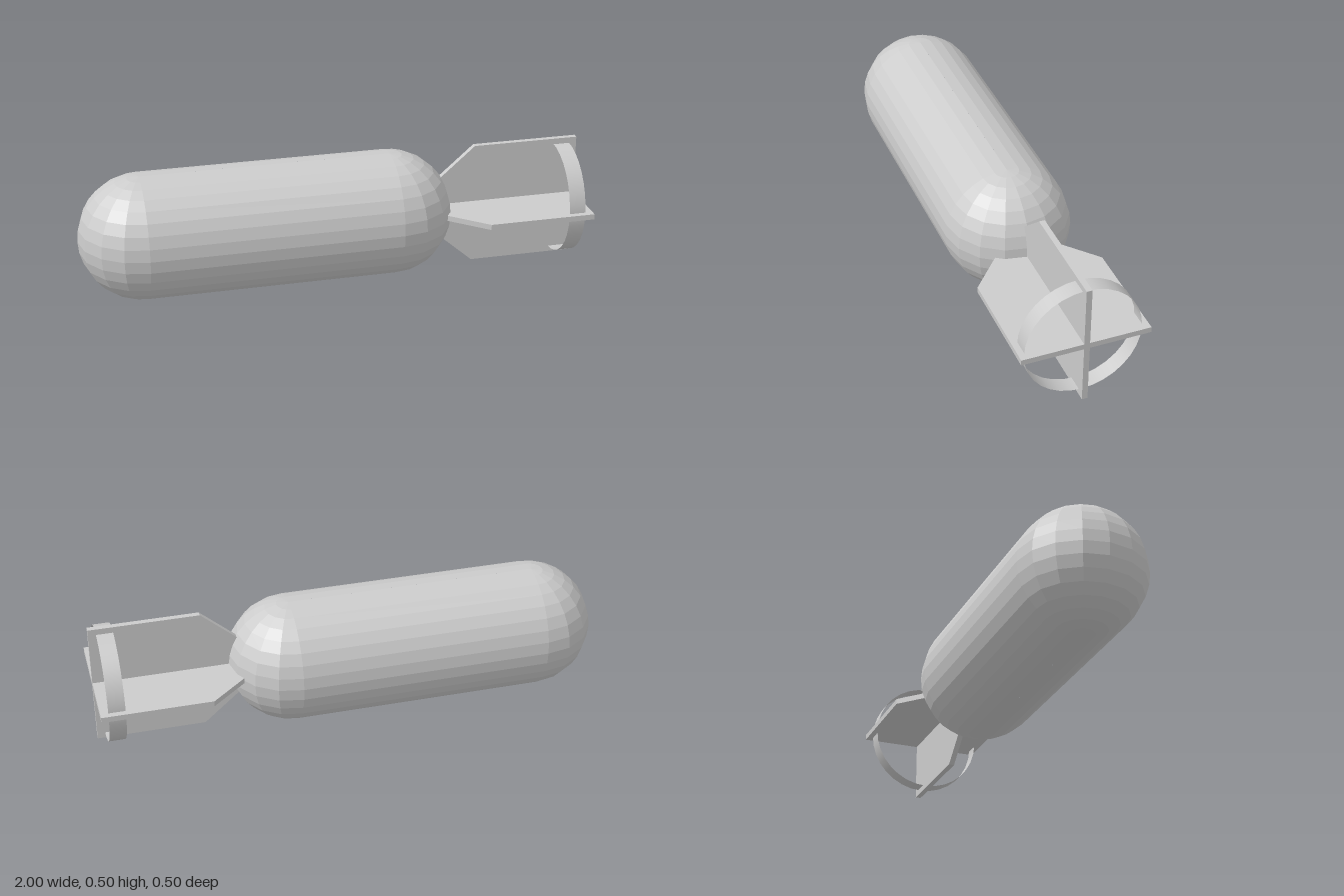
import * as THREE from 'three';

const RADIUS = 0.246, MID_Y = 0.2475;

export function createModel() {
  const model = new THREE.Group();
  const solid = new THREE.MeshStandardMaterial({ color: 0xcccccc, flatShading: true });
  const thin = new THREE.MeshStandardMaterial({ color: 0xcccccc, side: THREE.DoubleSide });

  const add = (name, geometry, material) => {
    const mesh = new THREE.Mesh(geometry, material);
    mesh.name = name;
    model.add(mesh);
    return mesh;
  };

  // Body: a 16-sided upright sphere pulled apart along x, with two extra columns as the straight sides
  const columns = 18, rows = 16, noseX = -0.754, tailX = 0.229;
  const bodyGeo = new THREE.SphereGeometry(RADIUS, columns, rows, 0, Math.PI * 2, 1e-4, Math.PI - 2e-4);
  const pos = bodyGeo.attributes.position;
  for (let i = 0; i < pos.count; i++) {
    const c = i % (columns + 1);
    const step = c < 5 ? c : c < 14 ? c - 1 : c - 2;
    const phi = step * Math.PI / 8;
    const r = Math.hypot(pos.getX(i), pos.getZ(i));
    const shift = c >= 5 && c < 14 ? tailX : noseX;
    pos.setXYZ(i, shift - r * Math.cos(phi), pos.getY(i), r * Math.sin(phi));
  }
  bodyGeo.computeVertexNormals();
  add('body', bodyGeo, solid).position.y = MID_Y;

  // Tail fins: two crossed plates tapering into the body
  const half = 0.2475, thickness = 0.022;
  const outline = new THREE.Shape([
    [0.435, -0.125], [0.575, -half], [1, -half], [1, half], [0.575, half], [0.435, 0.125],
  ].map(([x, y]) => new THREE.Vector2(x, y)));
  const finGeo = new THREE.ExtrudeGeometry(outline, { depth: thickness, bevelEnabled: false });
  finGeo.translate(0, 0, -thickness / 2);
  ['verticalFin', 'horizontalFin'].forEach((name, i) => {
    const fin = add(name, finGeo, solid);
    fin.position.y = MID_Y;
    fin.rotation.x = i * Math.PI / 2;
  });

  // Thin ring bracing the fins
  const ringGeo = new THREE.CylinderGeometry(0.225, 0.225, 0.065, 32, 1, true);
  ringGeo.rotateZ(Math.PI / 2);
  add('tailRing', ringGeo, thin).position.set(0.9375, MID_Y, 0);

  return model;
}
